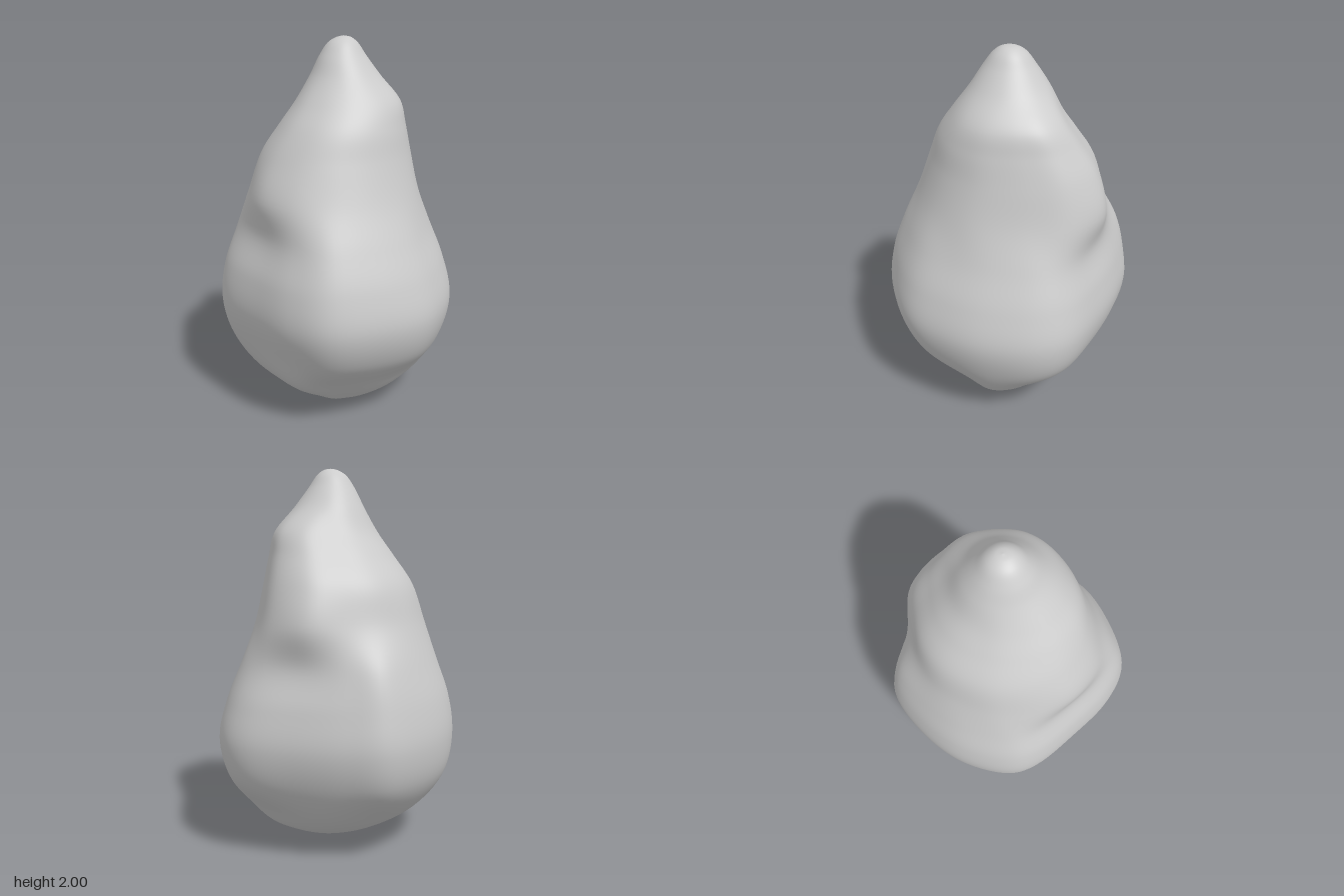
import * as THREE from 'three';

// Ring outlines in a unit box, 16 points each, running from +x towards +z
const OUTLINES = {
  low: [[1, 0], [.88, .3], [.68, .58], [.4, .8], [0, .94], [-.34, 1], [-.68, .66], [-.92, .32],
    [-1, .04], [-.9, -.36], [-.7, -.7], [-.4, -.92], [0, -1], [.36, -.9], [.68, -.66], [.92, -.36]],
  mid: [[1, 0], [.91, .36], [.74, .66], [.43, .87], [.03, 1], [-.31, .88], [-.63, .6], [-.92, .28],
    [-1, 0], [-.9, -.41], [-.66, -.75], [-.34, -.99], [0, -.97], [.4, -.85], [.79, -.67], [.97, -.41]],
  high: [[1, .1], [.91, .42], [.7, .7], [.38, .9], [0, 1], [-.38, .96], [-.74, .74], [-.94, .4],
    [-1, 0], [-.9, -.37], [-.7, -.67], [-.4, -.87], [0, -.97], [.45, -1], [.82, -.74], [.97, -.35]],
  tip: Array.from({ length: 16 }, (_, i) => [Math.cos(i * Math.PI / 8), Math.sin(i * Math.PI / 8)]),
};

// Height, left and right x limits, back and front z limits, outline
const SECTIONS = [
  [0, .06, .06, .09, .09, 'low'],
  [.03, -.09, .2, -.1, .19, 'low'],
  [.1, -.28, .37, -.28, .29, 'low'],
  [.22, -.48, .49, -.44, .43, 'low'],
  [.4, -.6, .59, -.6, .58, 'mid'],
  [.6, -.637, .635, -.66, .66, 'mid'],
  [.8, -.61, .59, -.64, .64, 'mid'],
  [1, -.54, .51, -.59, .57, 'mid'],
  [1.2, -.47, .44, -.54, .48, 'high'],
  [1.4, -.4, .395, -.485, .405, 'high'],
  [1.55, -.3, .365, -.395, .345, 'high'],
  [1.67, -.215, .335, -.315, .265, 'high'],
  [1.8, -.14, .23, -.23, .17, 'tip'],
  [1.9, -.09, .155, -.16, .105, 'tip'],
  [1.965, -.045, .11, -.11, .055, 'tip'],
  [1.992, 0, .075, -.07, .015, 'tip'],
  [2, .037, .037, -.03, -.03, 'tip'],
];

const AROUND = 96, UP = 112;

function buildStone() {
  // Smooth closed ring for each section
  const rings = SECTIONS.map(([y, x0, x1, z0, z1, name]) => {
    const unit = new THREE.CatmullRomCurve3(
      OUTLINES[name].map(([x, z]) => new THREE.Vector3(x, 0, z)), true, 'catmullrom', 0.5);
    return Array.from({ length: AROUND }, (_, i) => {
      const p = unit.getPoint(i / AROUND);
      return new THREE.Vector3((x0 + x1) / 2 + p.x * (x1 - x0) / 2, y,
        (z0 + z1) / 2 + p.z * (z1 - z0) / 2);
    });
  });

  // Smooth meridians through the rings
  const positions = [], index = [];
  for (let i = 0; i < AROUND; i++) {
    const meridian = new THREE.CatmullRomCurve3(rings.map(r => r[i]), false, 'centripetal');
    for (let j = 0; j <= UP; j++) {
      const p = meridian.getPoint(j / UP);
      positions.push(p.x, THREE.MathUtils.clamp(p.y, 0, 2), p.z);
    }
  }
  const at = (i, j) => (i % AROUND) * (UP + 1) + j;
  for (let i = 0; i < AROUND; i++) {
    for (let j = 0; j < UP; j++) {
      const a = at(i, j), b = at(i + 1, j), c = at(i + 1, j + 1), d = at(i, j + 1);
      if (j < UP - 1) index.push(a, d, c);
      if (j > 0) index.push(a, c, b);
      if (j === UP - 1) index.push(a, d, b);
    }
  }
  // The last band closes on the tip with single triangles
  const geometry = new THREE.BufferGeometry();
  geometry.setAttribute('position', new THREE.Float32BufferAttribute(positions, 3));
  geometry.setIndex(index);
  geometry.computeVertexNormals();
  return geometry;
}

export function createModel() {
  const group = new THREE.Group();
  group.name = 'stone';
  const body = new THREE.Mesh(buildStone(),
    new THREE.MeshStandardMaterial({ color: 0xcccccc, roughness: 0.9 }));
  body.name = 'stoneBody';
  group.add(body);
  return group;
}
